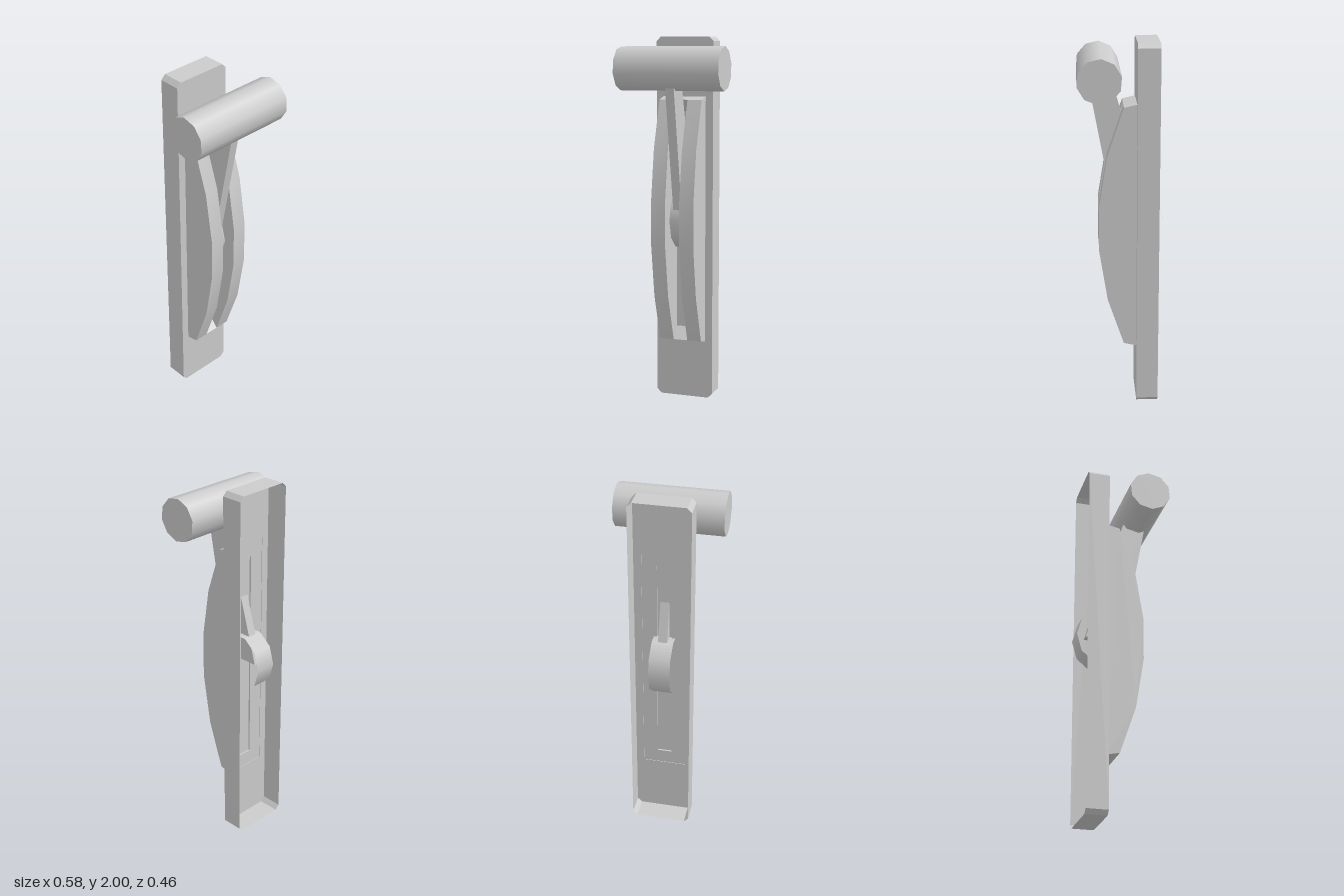
import * as THREE from 'three';
import { toCreasedNormals } from 'three/addons/utils/BufferGeometryUtils.js';

const grey = new THREE.MeshStandardMaterial({ color: 0xcccccc });
const greyThin = new THREE.MeshStandardMaterial({ color: 0xcccccc, side: THREE.DoubleSide });

const BACK = -0.205, FRONT = -0.087, PANEL = -0.084, FLOOR = -0.075;

const vectors = (pts) => pts.map(([a, b]) => new THREE.Vector2(a, b));

function add(parent, name, geometry, material = grey) {
  const mesh = new THREE.Mesh(geometry, material);
  mesh.name = name;
  parent.add(mesh);
  return mesh;
}

// Side profile given as [z, y], extruded across x from x0 to x1
function profile(pts, x0, x1) {
  const geo = new THREE.ExtrudeGeometry(new THREE.Shape(vectors(pts)), { depth: x1 - x0, bevelEnabled: false });
  geo.rotateY(-Math.PI / 2);
  geo.translate(x1, 0, 0);
  return toCreasedNormals(geo, 0.5);
}

// Thin wall following a closed [x, y] outline between two depths
function wall(pts, z0, z1) {
  const pos = [];
  pts.forEach(([ax, ay], i) => {
    const [bx, by] = pts[(i + 1) % pts.length];
    pos.push(ax, ay, z0, bx, by, z0, bx, by, z1, ax, ay, z0, bx, by, z1, ax, ay, z1);
  });
  const geo = new THREE.BufferGeometry();
  geo.setAttribute('position', new THREE.Float32BufferAttribute(pos, 3));
  geo.computeVertexNormals();
  return geo;
}

const rect = (w, y0, y1) => [[-w, y0], [w, y0], [w, y1], [-w, y1]];

export function createModel() {
  const model = new THREE.Group();
  model.name = 'leverControl';

  // Hollow mounting plate with chamfered corners, open at the back
  const w = 0.162, c = 0.024;
  const outline = [[-w + c, 0], [w - c, 0], [w, c], [w, 2 - c], [w - c, 2], [-w + c, 2], [-w, 2 - c], [-w, c]];
  const opening = rect(0.12, 0.325, 1.68);
  const face = new THREE.Shape(vectors(outline));
  face.holes.push(new THREE.Path(vectors(opening)));
  const plate = new THREE.Group();
  plate.name = 'mountingPlate';
  model.add(plate);
  add(plate, 'plateFace', new THREE.ShapeGeometry(face).translate(0, 0, FRONT), greyThin);
  add(plate, 'plateRim', wall(outline, BACK, FRONT), greyThin);
  add(plate, 'openingEdge', wall(opening, FRONT, PANEL), greyThin);

  // Pair of bowed guide rails
  const bow = [[PANEL, 0.325], [-0.018, 0.34], [0.07, 0.6], [0.115, 0.88],
    [0.115, 1.125], [0.07, 1.405], [-0.018, 1.665], [PANEL, 1.68]];
  add(model, 'leftRail', profile(bow, 0.04, 0.12));
  add(model, 'rightRail', profile(bow, -0.12, -0.04));

  // Slot floor and the sloped blocks closing its ends
  add(model, 'slotFloor', new THREE.PlaneGeometry(0.08, 1.2).translate(0, 1.0025, FLOOR), greyThin);
  add(model, 'lowerSlotEnd', profile([[PANEL, 0.325], [-0.018, 0.34], [FLOOR, 0.405], [PANEL, 0.405]], -0.04, 0.04));
  add(model, 'upperSlotEnd', profile([[PANEL, 1.6], [FLOOR, 1.6], [-0.018, 1.665], [PANEL, 1.68]], -0.04, 0.04));

  // Pivot drum, open at both ends
  const drum = new THREE.CylinderGeometry(1, 1, 0.115, 10, 1, true);
  drum.rotateZ(Math.PI / 2);
  drum.scale(1, 0.166, 0.143);
  drum.translate(0, 1.015, -0.095);
  add(model, 'pivotDrum', drum);

  // Tapered lever arm
  add(model, 'leverArm', profile([[-0.18, 1.02], [0.022, 1.02], [0.162, 1.77], [0.036, 1.77]], -0.024, 0.024));

  // Cross handle
  const handle = new THREE.CylinderGeometry(0.116, 0.116, 0.578, 10);
  handle.rotateZ(Math.PI / 2);
  handle.rotateX(0.23);
  handle.translate(0, 1.832, 0.113);
  add(model, 'handle', handle);

  return model;
}
